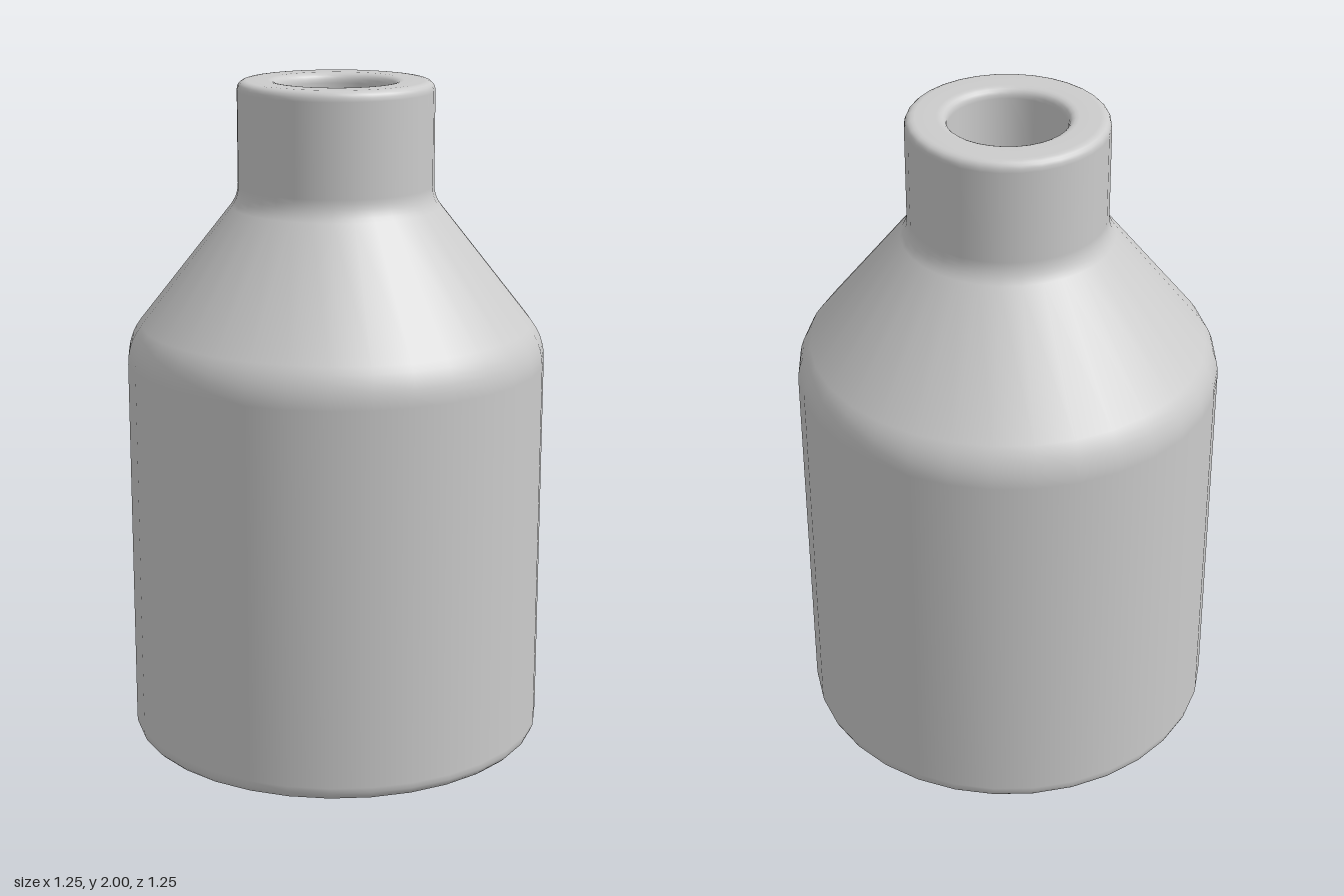
import * as THREE from 'three';

const SEGMENTS = 32;

// Profile of [radius, height, cornerSize] points with softened corners
function roundedProfile(corners, steps = 5) {
  const pts = corners.map(([r, y]) => new THREE.Vector2(r, y));
  const out = [];
  corners.forEach(([, , size], i) => {
    if (!size) { out.push(pts[i]); return; }
    const toward = (p) => pts[i].clone().add(p.clone().sub(pts[i]).setLength(size));
    const bend = new THREE.QuadraticBezierCurve(toward(pts[i - 1]), pts[i], toward(pts[i + 1]));
    out.push(...bend.getPoints(steps));
  });
  return out;
}

function lathePart(name, corners, color) {
  const geometry = new THREE.LatheGeometry(roundedProfile(corners), SEGMENTS);
  const mesh = new THREE.Mesh(geometry, new THREE.MeshStandardMaterial({ color }));
  mesh.name = name;
  return mesh;
}

export function createModel() {
  const group = new THREE.Group();
  group.name = 'bottle';

  // Thick-walled shell: recessed base, body, shoulder, neck, lip, then the inside
  group.add(lathePart('bottleShell', [
    [0, 0.05],
    [0.27, 0.05, 0.03],
    [0.36, 0, 0.03],
    [0.625, 0, 0.045],
    [0.625, 1.235, 0.065],
    [0.29, 1.66, 0.035],
    [0.29, 2, 0.03],
    [0.17, 2, 0.03],
    [0.17, 1.6, 0.04],
    [0.51, 1.17, 0.06],
    [0.51, 0.13, 0.05],
    [0, 0.13],
  ], 0xcccccc));

  // Contents resting inside the body
  group.add(lathePart('liquid', [
    [0, 0.14],
    [0.45, 0.14, 0.03],
    [0.505, 0.2, 0.03],
    [0.505, 1.05, 0.01],
    [0, 1.05],
  ], 0xf2b90f));

  return group;
}
